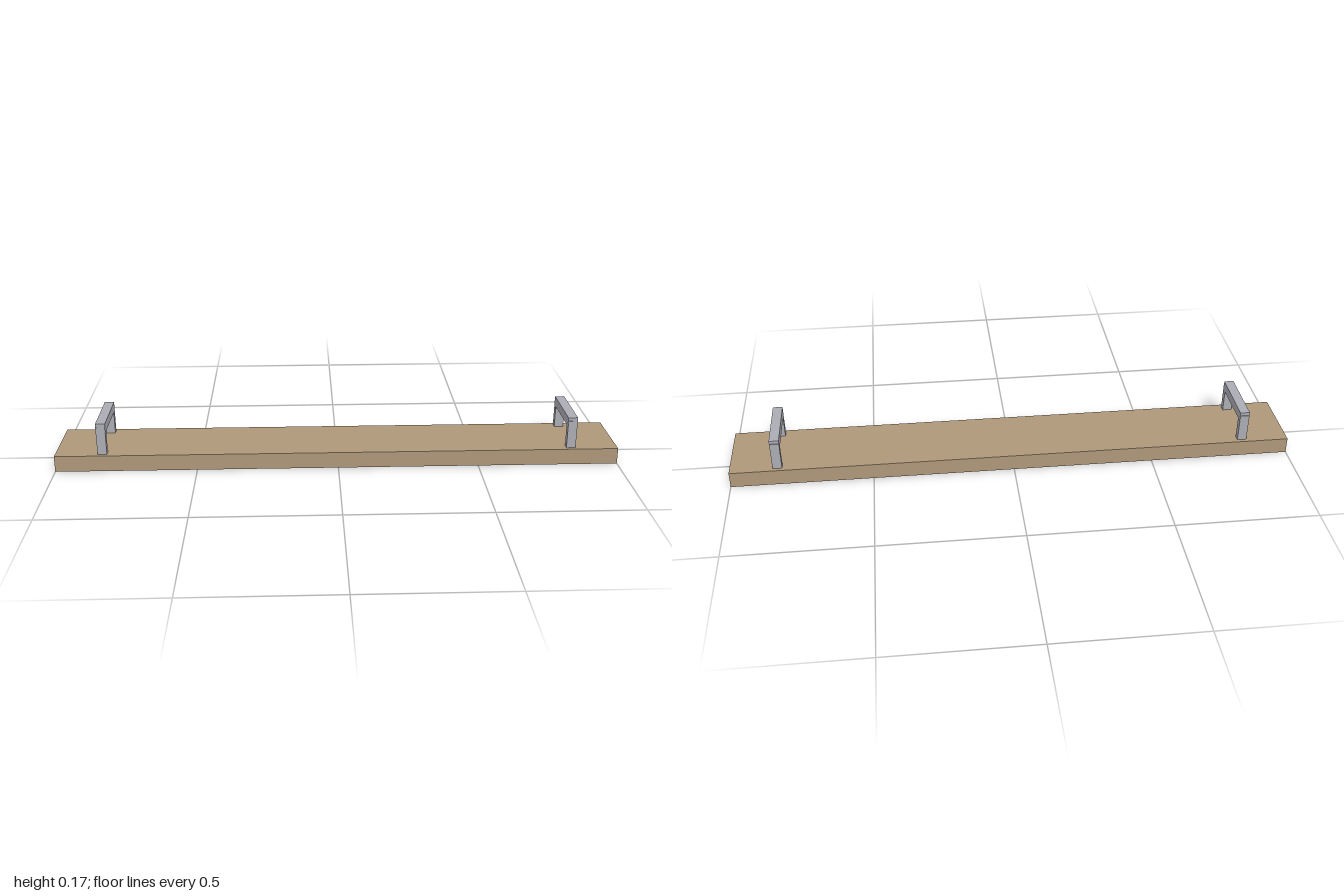
import * as THREE from 'three';

export function createModel() {
  const model = new THREE.Group();
  model.name = 'servingBoard';

  const wood = new THREE.MeshStandardMaterial({ color: 0xae977a });
  wood.name = 'wood';
  const metal = new THREE.MeshStandardMaterial({ color: 0xacacb4 });
  metal.name = 'brushed metal';

  // Box spanning y0..y1, centred on x and z
  function box(name, material, width, y0, y1, depth, x = 0, z = 0) {
    const mesh = new THREE.Mesh(new THREE.BoxGeometry(width, y1 - y0, depth), material);
    mesh.name = name;
    mesh.position.set(x, (y0 + y1) / 2, z);
    return mesh;
  }

  // Long plank
  const top = 0.058;
  model.add(box('board', wood, 2, 0, top, 0.25));

  // A handle across each end: two posts and a slightly shorter crossbar
  for (const side of [1, -1]) {
    const handle = new THREE.Group();
    handle.name = side > 0 ? 'leftHandle' : 'rightHandle';
    handle.position.x = side * 0.833;
    handle.add(box('crossbar', metal, 0.034, 0.139, 0.172, 0.217));
    for (const end of [1, -1]) {
      handle.add(box(end > 0 ? 'frontPost' : 'backPost', metal, 0.033, top, 0.16, 0.023, 0, end * 0.1));
    }
    model.add(handle);
  }
  return model;
}
